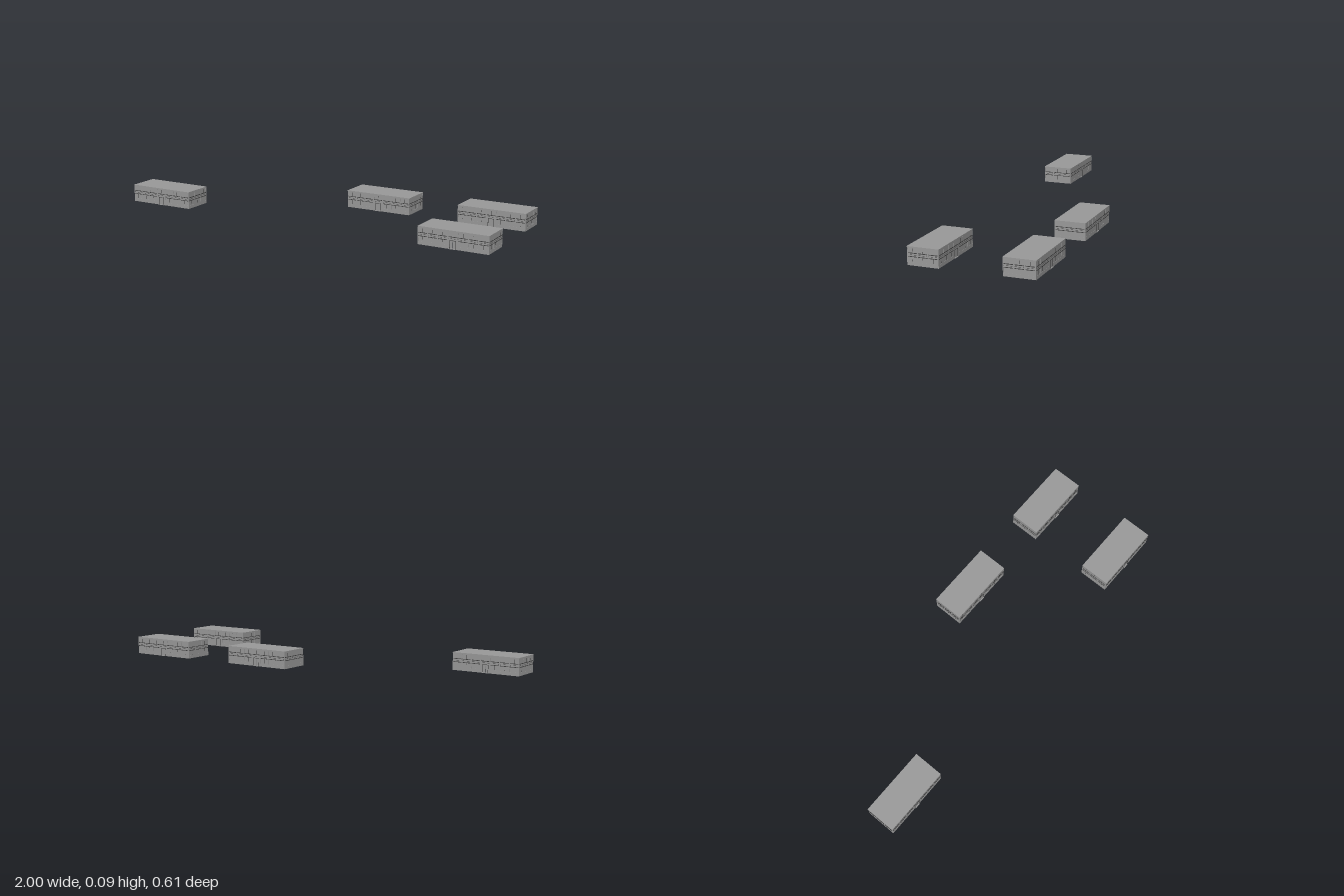
import * as THREE from 'three';

const makeMaterial = (color) => new THREE.MeshStandardMaterial({ color, side: THREE.DoubleSide, flatShading: true });
const grey = makeMaterial(0x9a9a9a);
const dark = makeMaterial(0x404040);

const W = 0.351, D = 0.153, H = 0.084, T = 0.002; // body size and wall thickness
const BAY = 0.05, WIN = 0.044;
const FLOORS = [[0.016, 0.041], [0.057, 0.08]];
const DOOR_W = 0.03, DOOR_H = 0.04;

function box(parent, name, material, w, h, d, x, y, z) {
  const mesh = new THREE.Mesh(new THREE.BoxGeometry(w, h, d), material);
  mesh.name = name;
  mesh.position.set(x, y, z);
  parent.add(mesh);
}

function rectPath(PathClass, x0, y0, x1, y1) {
  const p = new PathClass();
  p.moveTo(x0, y0).lineTo(x1, y0).lineTo(x1, y1).lineTo(x0, y1).closePath();
  return p;
}

// One wall with its outer face on z = 0, bays centred on x = 0
function makeWall(length, bays, hasDoor) {
  const wall = new THREE.Group();
  const shape = rectPath(THREE.Shape, -length / 2, 0, length / 2, H);

  for (let i = 0; i < bays; i++) {
    const x = (i - (bays - 1) / 2) * BAY;
    FLOORS.forEach(([y0, y1], floor) => {
      if (hasDoor && floor === 0 && i === (bays - 1) / 2) return;
      const h = y1 - y0, yc = (y0 + y1) / 2;
      shape.holes.push(rectPath(THREE.Path, x - WIN / 2, y0, x + WIN / 2, y1));
      box(wall, 'windowPane', grey, WIN, h, 0.0004, x, yc, -T / 2);
      box(wall, 'windowMullion', dark, 0.001, h * 0.8, 0.0012, x, yc, -T / 2);
      // Ledges bordering the band between the storeys
      box(wall, 'windowLedge', dark, WIN, 0.003, 0.002, x, floor ? y0 : y1, 0);
    });
    // Joint between the storeys
    box(wall, 'storeyJoint', dark, WIN, 0.001, 0.001, x, 0.049, 0);
  }

  if (hasDoor) {
    shape.holes.push(rectPath(THREE.Path, -DOOR_W / 2, 0.003, DOOR_W / 2, DOOR_H));
    for (const s of [-1, 1]) {
      box(wall, 'doorLeaf', grey, DOOR_W / 2 - 0.001, DOOR_H - 0.003, 0.0006, s * DOOR_W / 4, (DOOR_H + 0.003) / 2, -T / 2);
      box(wall, 'doorPost', dark, 0.002, DOOR_H, 0.002, s * DOOR_W / 2, DOOR_H / 2, 0);
    }
    box(wall, 'doorLintel', dark, DOOR_W + 0.003, 0.002, 0.002, 0, DOOR_H, 0);
    box(wall, 'doorStep', grey, DOOR_W, 0.003, 0.0045, 0, 0.0015, 0.00125);
  }

  const geo = new THREE.ExtrudeGeometry(shape, { depth: T, bevelEnabled: false });
  geo.translate(0, 0, -T);
  const panel = new THREE.Mesh(geo, grey);
  panel.name = 'wallPanel';
  wall.add(panel);
  return wall;
}

// Two-storey building, hollow and open underneath
function makeBuilding() {
  const building = new THREE.Group();
  building.name = 'building';
  for (let i = 0; i < 4; i++) {
    const long = i % 2 === 0;
    const wall = makeWall(long ? W : D, long ? 7 : 3, long);
    wall.name = ['frontWall', 'leftWall', 'backWall', 'rightWall'][i];
    wall.rotation.y = i * Math.PI / 2;
    wall.translateZ((long ? D : W) / 2);
    building.add(wall);
  }
  box(building, 'roof', grey, W + 0.002, 0.003, D + 0.002, 0, H + 0.0015, 0);
  return building;
}

export function createModel() {
  const model = new THREE.Group();
  model.name = 'buildings';
  const base = makeBuilding();
  const places = [[-0.8235, 0.2255], [0.8235, 0.2255], [0.202, -0.2265], [0.817, -0.2265]];
  for (const [x, z] of places) {
    const copy = base.clone();
    copy.position.set(x, 0, z);
    model.add(copy);
  }
  return model;
}
